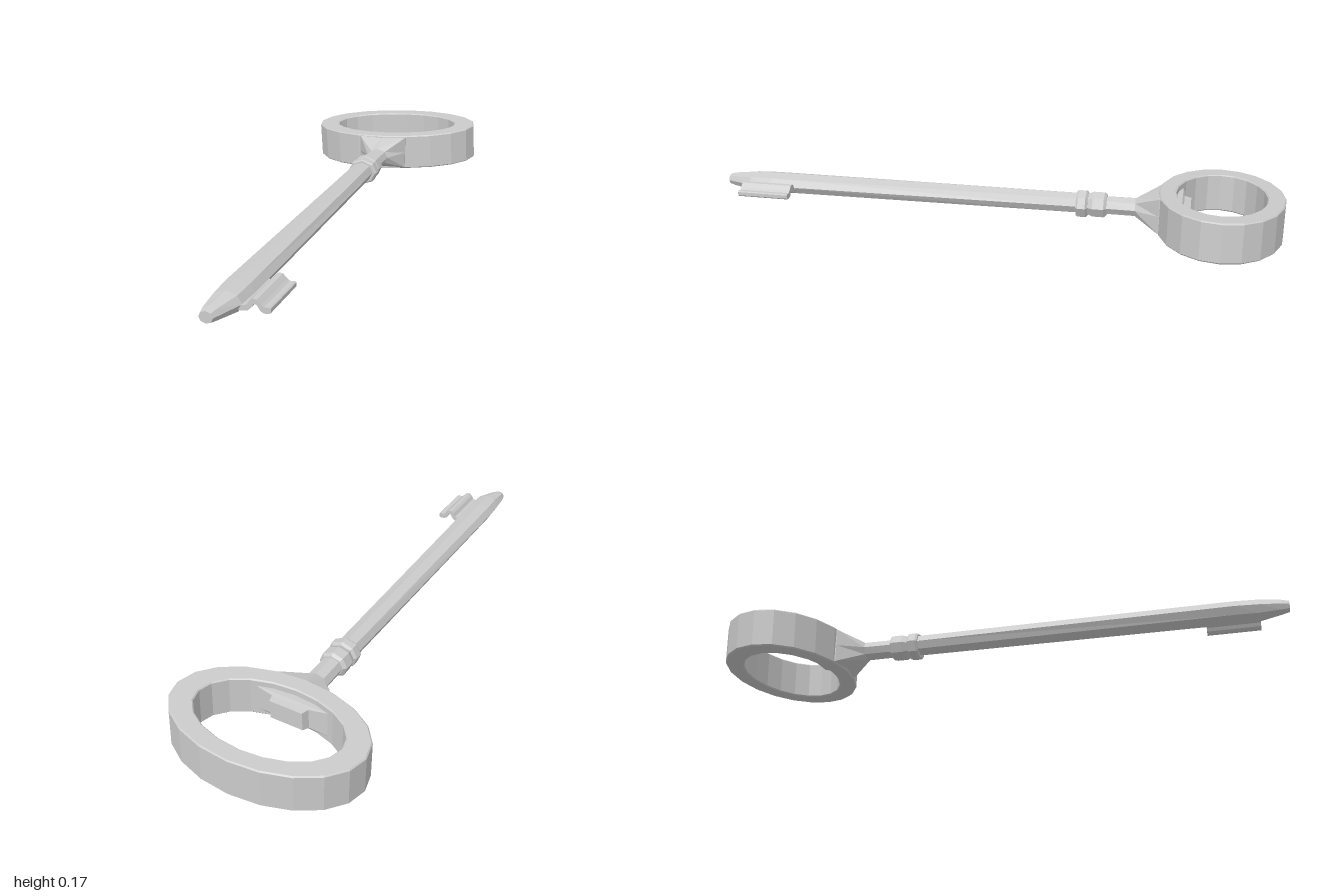
import * as THREE from 'three';

const TILT = 0.063; // the bow leans slightly about the shaft axis
const material = new THREE.MeshStandardMaterial({ color: 0xcccccc, flatShading: true });

// Eight-sided loft; sections run from front to back: [z, cx, cy, rx, ry]
function loft(sections, square = () => false, sides = 8) {
  const rings = sections.map(([z, cx, cy, rx, ry], i) => {
    const ring = [];
    for (let k = 0; k < sides; k++) {
      const a = (k / sides) * Math.PI * 2;
      let c = Math.cos(a), s = Math.sin(a), lean = 0;
      if (square(i)) {
        const m = Math.max(Math.abs(c), Math.abs(s));
        c /= m; s /= m; lean = TILT;
      }
      ring.push([cx + c * rx, cy + s * ry + c * rx * lean, z]);
    }
    return ring;
  });
  const pos = [];
  const tri = (...p) => p.forEach((v) => pos.push(...v));
  const last = sections.length - 1;
  const centre = (i) => [sections[i][1], sections[i][2], sections[i][0]];
  for (let k = 0; k < sides; k++) {
    const n = (k + 1) % sides;
    for (let i = 0; i < last; i++) {
      const a = rings[i][k], b = rings[i][n], c = rings[i + 1][k], d = rings[i + 1][n];
      tri(a, c, b);
      tri(b, c, d);
    }
    tri(centre(0), rings[0][k], rings[0][n]);
    tri(centre(last), rings[last][n], rings[last][k]);
  }
  const geo = new THREE.BufferGeometry();
  geo.setAttribute('position', new THREE.Float32BufferAttribute(pos, 3));
  geo.computeVertexNormals();
  return geo;
}

function ellipsePoints(rx, rz, n = 20) {
  return Array.from({ length: n }, (_, i) => {
    const a = (i / n) * Math.PI * 2;
    return new THREE.Vector2(Math.cos(a) * rx, Math.sin(a) * rz);
  });
}

export function createModel() {
  const group = new THREE.Group();
  const add = (name, geo) => {
    const mesh = new THREE.Mesh(geo, material);
    mesh.name = name;
    group.add(mesh);
    return mesh;
  };

  // Oval bow with a fine bevel on its rims
  const bevel = 0.004;
  const oval = new THREE.Shape(ellipsePoints(0.331 - bevel, 0.212 - bevel));
  oval.holes.push(new THREE.Path(ellipsePoints(0.25 + bevel, 0.152 + bevel)));
  const depth = 0.134 - 2 * bevel;
  const bowGeo = new THREE.ExtrudeGeometry(oval, {
    depth, bevelEnabled: true, bevelSize: bevel, bevelThickness: bevel, bevelSegments: 1,
  });
  bowGeo.translate(0, 0, -depth / 2).rotateX(Math.PI / 2).rotateZ(TILT);
  add('bow', bowGeo).position.set(0, 0.088, -0.788);

  // Tapered shaft with a blunt tip
  add('shaft', loft([
    [1.0, 0.006, 0.089, 0.022, 0.019],
    [0.975, 0.008, 0.09, 0.03, 0.025],
    [0.9, 0.019, 0.092, 0.049, 0.035],
    [0.82, 0.018, 0.093, 0.053, 0.036],
    [-0.31, 0.01, 0.093, 0.042, 0.036],
  ]));

  // Double collar
  add('frontCollar', loft([
    [-0.297, 0.011, 0.091, 0.05, 0.044],
    [-0.304, 0.011, 0.091, 0.056, 0.049],
    [-0.33, 0.011, 0.091, 0.056, 0.049],
    [-0.337, 0.011, 0.091, 0.045, 0.04],
  ]));
  add('rearCollar', loft([
    [-0.335, 0.009, 0.091, 0.042, 0.037],
    [-0.355, 0.009, 0.091, 0.052, 0.046],
    [-0.393, 0.009, 0.091, 0.052, 0.046],
    [-0.402, 0.009, 0.091, 0.042, 0.036],
  ]));

  // Slim neck flaring to a rectangular foot on the bow
  add('neck', loft([
    [-0.395, 0.009, 0.091, 0.038, 0.032],
    [-0.5, 0.008, 0.091, 0.04, 0.032],
    [-0.582, 0.002, 0.088, 0.094, 0.062],
    [-0.62, 0.002, 0.088, 0.094, 0.06],
  ], (i) => i > 1));

  // Foot showing through on the inside of the bow
  add('innerFoot', loft([
    [-0.61, 0, 0.088, 0.09, 0.045],
    [-0.658, 0, 0.088, 0.135, 0.045],
    [-0.664, 0.002, 0.088, 0.065, 0.035],
    [-0.687, 0.004, 0.088, 0.058, 0.032],
  ], () => true));

  // Wavy bit
  const outline = [
    [0.05, 0.076], [0.07, 0.076], [0.086, 0.079], [0.098, 0.09], [0.105, 0.103], [0.114, 0.1],
    [0.125, 0.083], [0.135, 0.078], [0.152, 0.079], [0.156, 0.083], [0.156, 0.095], [0.152, 0.098],
    [0.136, 0.097], [0.128, 0.103], [0.114, 0.117], [0.101, 0.118], [0.092, 0.11], [0.085, 0.097],
    [0.075, 0.093], [0.05, 0.093],
  ].map(([x, y]) => new THREE.Vector2(x, y));
  const bitGeo = new THREE.ExtrudeGeometry(new THREE.Shape(outline), { depth: 0.185, bevelEnabled: false });
  add('bit', bitGeo.translate(0, 0, 0.72));

  return group;
}
